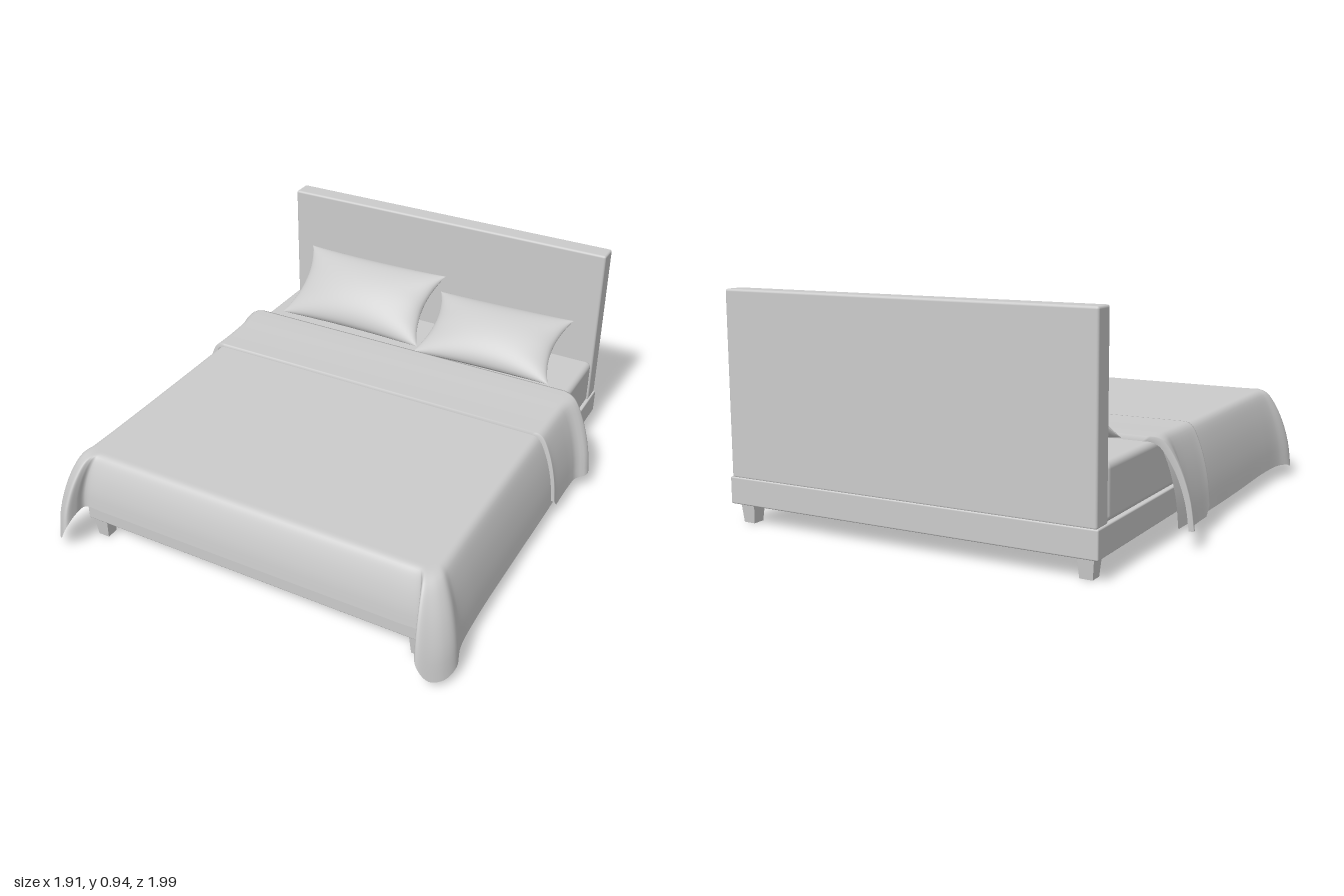
import * as THREE from 'three';
import { RoundedBoxGeometry } from 'three/addons/geometries/RoundedBoxGeometry.js';
import { mergeGeometries } from 'three/addons/utils/BufferGeometryUtils.js';

const solid = new THREE.MeshStandardMaterial({ color: 0xcccccc });
const cloth = new THREE.MeshStandardMaterial({ color: 0xcccccc, side: THREE.DoubleSide });
const V = (x, y, z) => new THREE.Vector3(x, y, z);
const smooth = THREE.MathUtils.smoothstep;
const lerp = THREE.MathUtils.lerp;

function add(parent, name, geometry, material = solid) {
  const mesh = new THREE.Mesh(geometry, material);
  mesh.name = name;
  parent.add(mesh);
  return mesh;
}

// Box given by its minimum and maximum corners
function box(x0, x1, y0, y1, z0, z1, r) {
  return new RoundedBoxGeometry(x1 - x0, y1 - y0, z1 - z0, 3, r)
    .translate((x0 + x1) / 2, (y0 + y1) / 2, (z0 + z1) / 2);
}

// Smooth sheet of (m+1) x (n+1) points
function sheet(m, n, point) {
  const pos = [], index = [];
  for (let i = 0; i <= m; i++)
    for (let j = 0; j <= n; j++) {
      pos.push(...point(i, j).toArray());
      if (i < m && j < n) {
        const a = i * (n + 1) + j, b = a + n + 1;
        index.push(a, b, a + 1, b, b + 1, a + 1);
      }
    }
  const g = new THREE.BufferGeometry();
  g.setAttribute('position', new THREE.Float32BufferAttribute(pos, 3));
  g.setIndex(index);
  g.computeVertexNormals();
  return g;
}

// Drape profile from the mattress edge to the hem: x = outward share, y = downward share
const drape = new THREE.CatmullRomCurve3([
  [0, 0], [0.2, 0.01], [0.37, 0.06], [0.56, 0.2], [0.76, 0.42], [0.92, 0.7], [1, 1],
].map(([x, y]) => V(x, y, 0)));
function hang(top, hem, q) {
  const w = drape.getPoint(q);
  return V(lerp(top.x, hem.x, w.x), lerp(top.y, hem.y, w.y), lerp(top.z, hem.z, w.x));
}

// Blanket: flat top, skirt on three sides, flared folds at the foot corners
function blanketGeometry() {
  const stations = [ // edge x, edge z, hem x, hem y, hem z, from head to foot centre
    [0.77, -0.5, 0.885, 0.07, -0.47], [0.77, -0.2, 0.887, 0.065, -0.2],
    [0.77, 0.2, 0.883, 0.06, 0.2], [0.77, 0.58, 0.885, 0.065, 0.6],
    [0.77, 0.74, 0.895, 0.06, 0.78], [0.768, 0.765, 0.92, 0.05, 0.87],
    [0.763, 0.778, 0.9, 0.03, 0.93], [0.757, 0.785, 0.855, 0.04, 0.975],
    [0.75, 0.79, 0.805, 0.12, 0.99], [0.74, 0.79, 0.785, 0.17, 0.94],
    [0.72, 0.79, 0.775, 0.18, 0.893], [0.65, 0.79, 0.68, 0.18, 0.888],
    [0.35, 0.79, 0.35, 0.18, 0.888], [0, 0.79, 0, 0.18, 0.888],
  ];
  const edge = new THREE.CatmullRomCurve3(stations.map(s => V(s[0], 0.407, s[1])));
  const hem = new THREE.CatmullRomCurve3(stations.map(s => V(s[2], s[3], s[4])));
  const half = 78, rings = 18;
  return sheet(half * 2, rings + 1, (i, j) => {
    const side = i <= half ? 1 : -1;
    const t = (i <= half ? i : 2 * half - i) / half;
    const top = edge.getPoint(t);
    const p = j === 0 ? V(0, top.y, Math.min(top.z, 0.5)) : hang(top, hem.getPoint(t), (j - 1) / rings);
    p.x *= side;
    return p;
  });
}

// Turned-back strip of the blanket, flaring out at its head edge
function foldGeometry() {
  const rows = [-0.555, -0.553, -0.545, -0.53, -0.51, -0.48, -0.45, -0.42, -0.36, -0.3, -0.25, -0.22, -0.2, -0.188, -0.182, -0.18];
  const last = rows.length - 1, rings = 18;
  return sheet(last, 2 * rings + 2, (i, j) => {
    const z = rows[i], k = j - rings - 1, side = Math.sign(k);
    const lift = i === 0 || i === last ? 0 : 0.014 + 0.005 * smooth(-z, 0.3, 0.5);
    const back = smooth(-z, 0.42, 0.55);
    const top = V(0.77 + lift, 0.407 + lift, z);
    const hem = V(0.89 + lift + 0.045 * back, 0.06 + 0.015 * back + 0.04 * smooth(z, -0.22, -0.18), z + 0.06 * back);
    if (k === 0) return V(0, top.y, z);
    const p = hang(top, hem, (Math.abs(k) - 1) / rings);
    p.x *= side;
    return p;
  });
}

// Pillow: two domed faces meeting at a seam with pinched corners
function pillowGeometry(w, h, thick) {
  const n = 28, c = k => Math.sin((k / n - 0.5) * Math.PI);
  const face = sheet(n, n, (i, j) => {
    const v = c(i), u = c(j), a = 1 - u * u, b = 1 - v * v;
    const pucker = 1 + 0.06 * Math.cos(9 * v) * u ** 6;
    return V(u * w / 2 * (1 - 0.13 * b), thick / 2 * Math.pow(a * b, 0.5) * pucker, v * h / 2 * (1 - 0.05 * a));
  });
  return mergeGeometries([face, face.clone().rotateZ(Math.PI)]);
}

export function createModel() {
  const bed = new THREE.Group();
  bed.name = 'bed';

  add(bed, 'frame', box(-0.805, 0.805, 0.08, 0.19, -1, 0.845, 0.006));
  add(bed, 'headboard', box(-0.798, 0.798, 0.185, 0.935, -0.997, -0.905, 0.01));
  add(bed, 'mattress', box(-0.795, 0.795, 0.185, 0.398, -0.905, 0.82, 0.025));

  // Tapered square legs
  const leg = new THREE.CylinderGeometry(0.048, 0.036, 0.09, 4).toNonIndexed();
  leg.rotateY(Math.PI / 4).computeVertexNormals();
  for (const x of [-0.745, 0.745])
    for (const z of [-0.94, 0.81])
      add(bed, z > 0 ? 'frontLeg' : 'backLeg', leg).position.set(x, 0.045, z);

  add(bed, 'blanket', blanketGeometry(), cloth);
  add(bed, 'blanketFold', foldGeometry(), cloth);

  // Pillows leaning on the headboard
  const right = add(bed, 'rightPillow', pillowGeometry(0.74, 0.385, 0.16), cloth);
  right.position.set(-0.337, 0.54, -0.75);
  right.rotation.set(0.66, 0, 0);
  const left = add(bed, 'leftPillow', pillowGeometry(0.67, 0.36, 0.16), cloth);
  left.position.set(0.355, 0.495, -0.74);
  left.rotation.set(0.5, 0.02, 0);

  return bed;
}
